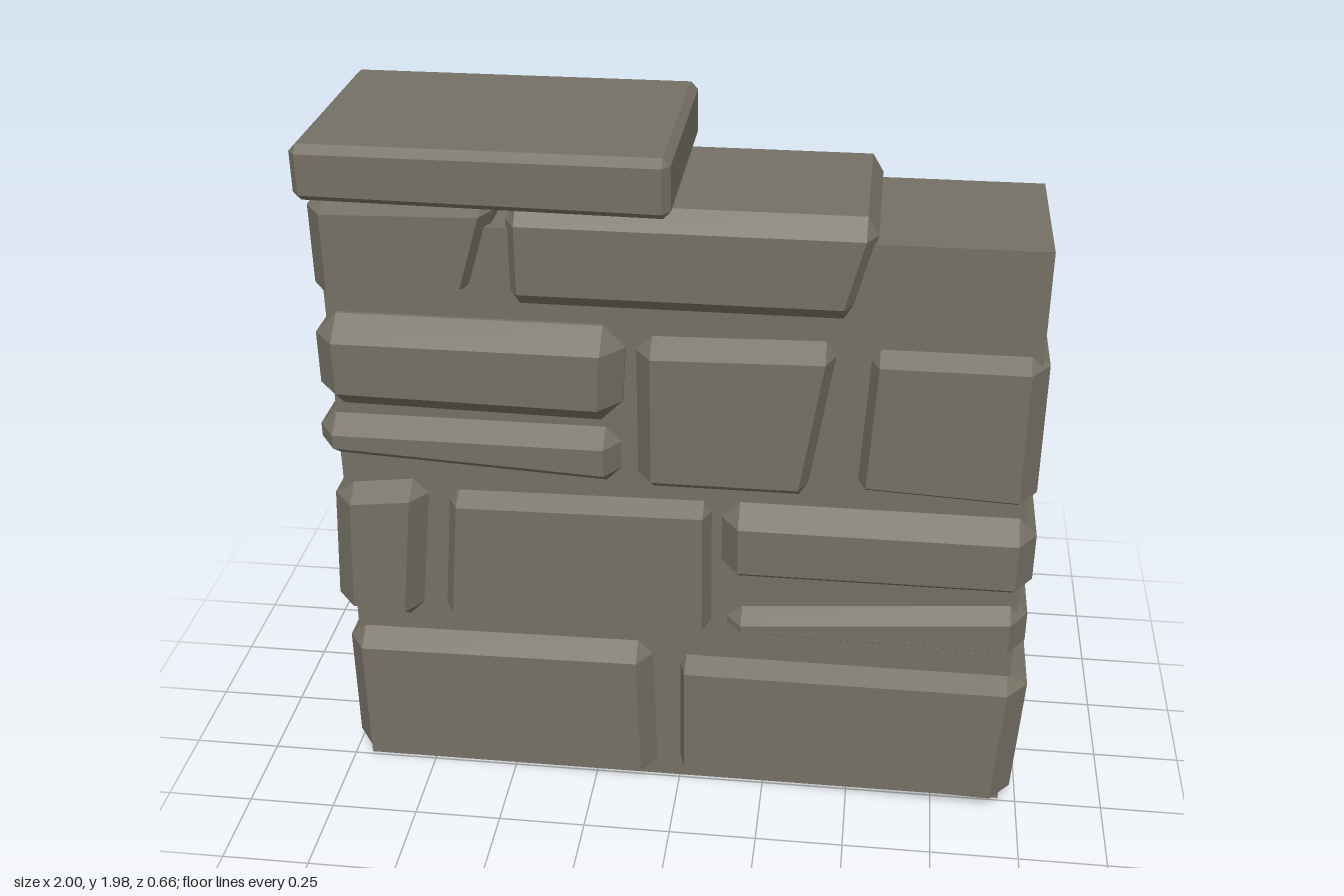
import * as THREE from 'three';
import { ConvexGeometry } from 'three/addons/geometries/ConvexGeometry.js';

const stoneMat = new THREE.MeshStandardMaterial({ color: 0x757064 });
stoneMat.name = 'greyBrownStone';

// A rough bevelled block running through the wall, x0..x1 wide and y0..y1 high.
// lean shifts its top right corner in x, leftLean its top left corner in x,
// drop lowers the bottom right corner and rise lifts the top right one.
// insetL, insetR, insetY and bevel set how far the flat faces draw in.
function stone(name, x0, x1, y0, y1, {
  front = 0.3, back = -0.29, lean = 0, leftLean = 0, drop = 0, rise = 0,
  insetL = 0.05, insetR = 0.05, insetY = 0.05, bevel = 0.07,
} = {}) {
  const corners = [
    [x0, y0, 1, 1],
    [x1, y0 - drop, -1, 1],
    [x1 + lean, y1 + rise, -1, -1],
    [x0 + leftLean, y1, 1, -1],
  ];
  const points = [];
  for (const [x, y, sx, sy] of corners) {
    const ix = x + sx * (sx > 0 ? insetL : insetR);
    const iy = y + sy * insetY;
    for (const z of [front, back]) {
      const rim = z - Math.sign(z) * bevel;
      points.push(
        new THREE.Vector3(ix, iy, z),
        new THREE.Vector3(x, iy, rim),
        new THREE.Vector3(ix, y, rim)
      );
    }
  }
  const mesh = new THREE.Mesh(new ConvexGeometry(points), stoneMat);
  mesh.name = name;
  return mesh;
}

export function createModel() {
  const wall = new THREE.Group();
  wall.name = 'stoneWall';

  // plain core behind the stones
  const core = new THREE.Mesh(new THREE.BoxGeometry(1.9, 1.75, 0.48), stoneMat);
  core.name = 'wallCore';
  core.position.y = 0.875;
  wall.add(core);

  // bottom course
  wall.add(
    stone('bottomRightStone', -0.98, -0.06, 0.03, 0.48, { drop: 0.02, rise: 0.01, lean: -0.01 }),
    stone('bottomLeftStone', 0, 0.98, 0.04, 0.45, { drop: 0.03, lean: 0.02, insetL: 0.02, insetR: 0.06, insetY: 0.035 })
  );

  // second course
  wall.add(
    stone('smallEndStone', -1, -0.74, 0.53, 0.97, { drop: 0.01, rise: 0.02, lean: 0.04, leftLean: 0.02, insetL: 0.06 }),
    stone('middleStone', -0.69, 0.1, 0.53, 0.97, { front: 0.29, rise: 0.01, leftLean: 0.03, insetL: 0.04, insetR: 0.03, insetY: 0.045 }),
    stone('lowerThinStone', 0.12, 0.98, 0.52, 0.64, { front: 0.29, back: -0.28, drop: 0.01, rise: 0.06, insetL: 0.06 }),
    stone('lowerLongStone', 0.12, 0.98, 0.73, 0.97, { front: 0.31, back: -0.3 })
  );

  // third course
  wall.add(
    stone('upperThinStone', -1, -0.15, 1.05, 1.19, { back: -0.31, drop: 0.04 }),
    stone('upperLongStone', -0.98, -0.15, 1.22, 1.49, { front: 0.32, back: -0.3, drop: 0.01, lean: 0.01, insetL: 0.06, insetR: 0.06, insetY: 0.06 }),
    stone('centreStone', -0.12, 0.36, 1, 1.47, { rise: 0.01, lean: 0.06, insetR: 0.03 }),
    stone('squareEndStone', 0.48, 0.97, 1.02, 1.47, { front: 0.29, back: -0.31, drop: 0.02, leftLean: 0.02, insetL: 0.03, insetY: 0.045 })
  );

  // top course
  wall.add(
    stone('topEndStone', -0.98, -0.54, 1.53, 1.81, { front: 0.28, drop: -0.03, rise: 0.01, lean: 0.06, insetR: 0.03, insetY: 0.03 }),
    stone('topLongStone', -0.45, 0.46, 1.53, 1.82, { front: 0.28, back: -0.28, lean: 0.05, insetL: 0.03, insetR: 0.03, bevel: 0.05 })
  );

  // overhanging slab
  wall.add(
    stone('capSlab', -0.98, -0.01, 1.83, 1.98, { front: 0.33, back: -0.33, drop: 0.01, insetL: 0.02, insetR: 0.02, insetY: 0.02, bevel: 0.025 })
  );
  return wall;
}
